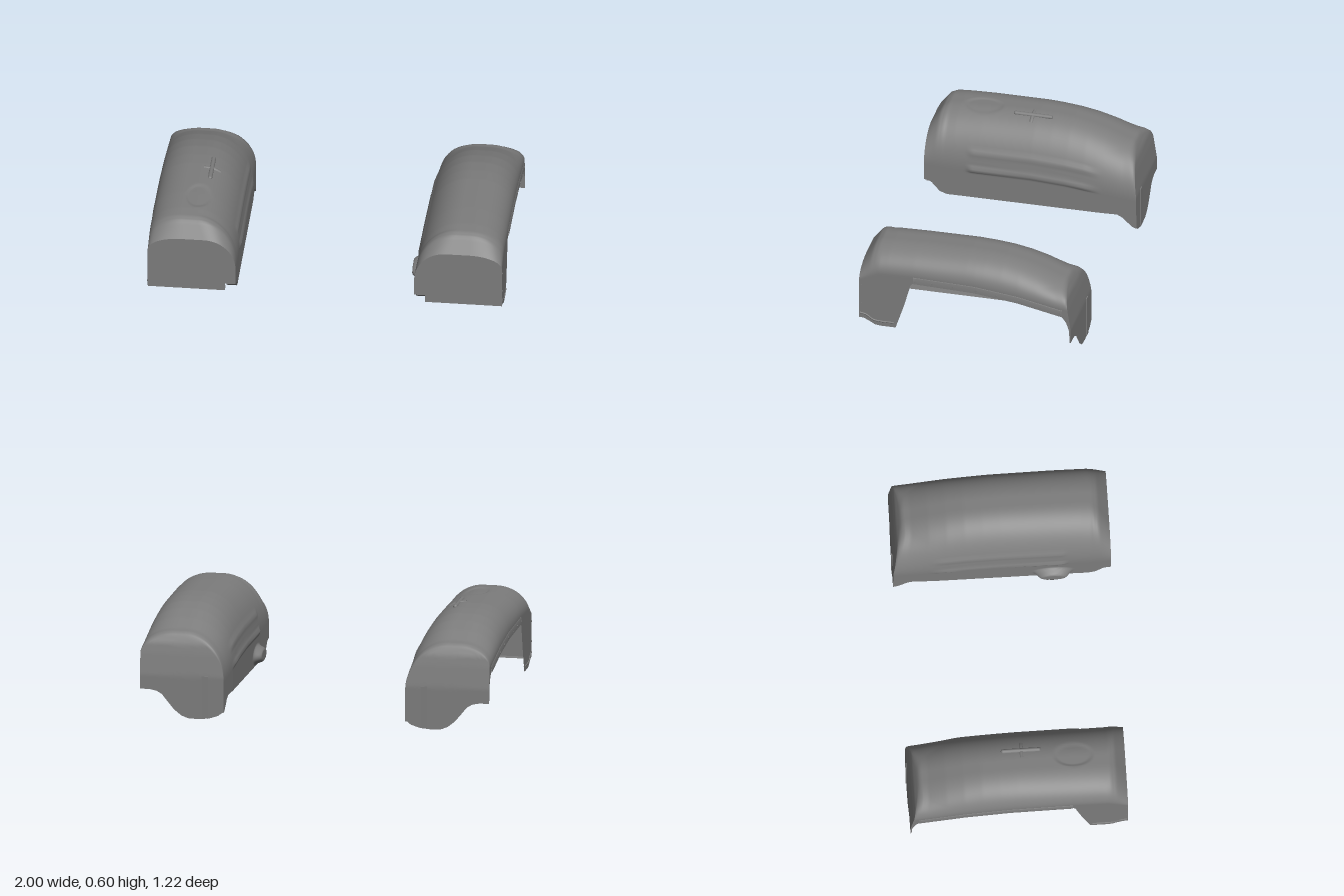
import * as THREE from 'three';
import { mergeGeometries, mergeVertices } from 'three/addons/utils/BufferGeometryUtils.js';

const material = new THREE.MeshStandardMaterial({ color: 0x7c7c7c, side: THREE.DoubleSide });

// Piecewise linear curve through [key, value] pairs with rising keys
function curve(...pts) {
  return (k) => {
    if (k <= pts[0][0]) return pts[0][1];
    for (let i = 1; i < pts.length; i++) {
      const [a, va] = pts[i - 1], [b, vb] = pts[i];
      if (k <= b) return va + (vb - va) * (k - a) / (b - a);
    }
    return pts[pts.length - 1][1];
  };
}
const step = THREE.MathUtils.smoothstep;

// Lengthwise rules, keyed by z
const roofY = curve([-0.555, 0.468], [-0.54, 0.482], [-0.5, 0.49], [-0.46, 0.506], [-0.4, 0.53], [-0.3, 0.56],
  [-0.2, 0.58], [-0.1, 0.59], [0, 0.595], [0.3, 0.592], [0.45, 0.587], [0.52, 0.58], [0.55, 0.565], [0.61, 0.48]);
const shoulderY = curve([-0.555, 0.22], [-0.3, 0.26], [0, 0.28], [0.5, 0.29], [0.61, 0.3]);
const lipY = curve([-0.555, 0.362], [-0.43, 0.388], [-0.3, 0.415], [-0.05, 0.445], [0.3, 0.455], [0.5, 0.45], [0.61, 0.4]);
const wallBottomY = curve([-0.61, 0.04], [-0.59, 0.048], [-0.56, 0.075], [-0.53, 0.105], [-0.5, 0.12], [0.48, 0.12],
  [0.52, 0.135], [0.57, 0.19], [0.61, 0.2]);
const wallX = curve([-0.61, 0.52], [-0.37, 0.508], [0.4, 0.505], [0.61, 0.502]);
const crownX = curve([0.5, 0.75], [0.61, 0.68]);
const ribY = curve([-0.4, -0.035], [-0.2, -0.012], [0, 0], [0.4, 0]);
// Rear face lean (z by y), its lower edge (y by x) and the depth of its outer return (by y)
const rearZ = curve([0, -0.61], [0.24, -0.608], [0.36, -0.59], [0.42, -0.578], [0.468, -0.555]);
const rearBottomY = curve([0.52, 0.045], [0.55, 0.022], [0.6, 0.006], [0.66, 0], [0.72, 0.002], [0.76, 0.018],
  [0.8, 0.05], [0.84, 0.098], [0.87, 0.135], [0.9, 0.152], [0.94, 0.16], [1, 0.16]);
const returnDepth = curve([0.16, 0.006], [0.24, 0.01], [0.29, 0.02], [0.335, 0.05]);

const WALL = 26, ARC = 30, TOP = 16, SIDE = 0.995;

// One cross-section, from the inner wall foot over the roof to the outer edge
function section(z, bottom) {
  const H = roofY(z), s = shoulderY(z), o = lipY(z), xi = wallX(z), xc = crownX(z);
  const pts = [];
  for (let i = 0; i < WALL; i++) pts.push([xi, bottom + (s - bottom) * i / WALL]);
  for (let i = 0; i < ARC; i++) {
    const a = i / ARC * Math.PI / 2;
    pts.push([xc - (xc - xi) * Math.cos(a), s + (H - s) * Math.sin(a)]);
  }
  for (let i = 0; i < TOP; i++) pts.push([xc + (0.81 - xc) * i / TOP, H]);
  for (let i = 0; i <= ARC; i++) {
    const a = i / ARC * Math.PI / 2;
    pts.push([0.81 + (SIDE - 0.81) * Math.sin(a), o + (H - o) * Math.cos(a)]);
  }
  pts.push([SIDE, o - 0.04]);
  return pts;
}

// Surface through a list of equally long rows of [x, y, z]
function loft(rows) {
  const n = rows[0].length, index = [];
  for (let r = 0; r < rows.length - 1; r++) {
    for (let i = 0; i < n - 1; i++) {
      const a = r * n + i, b = a + n;
      index.push(a, a + 1, b, b, a + 1, b + 1);
    }
  }
  const g = new THREE.BufferGeometry();
  g.setAttribute('position', new THREE.Float32BufferAttribute(rows.flat(2), 3));
  g.setIndex(index);
  g.computeVertexNormals();
  return g;
}

// Joins lofts into one skin with smooth seams
function smoothSkin(...lofts) {
  const joined = mergeGeometries(lofts);
  joined.deleteAttribute('normal');
  const skin = mergeVertices(joined, 1e-4);
  skin.computeVertexNormals();
  return skin;
}

// Pressed ribs and bulges: returns the shifted point
function press(x, y, z, isLeft) {
  if (x < 0.6 && y < 0.46) {
    const fade = step(z, -0.42, -0.3) * (1 - step(z, 0.33, 0.38));
    for (const [c, depth] of [[0.297, 0.01], [0.395, 0.006]]) {
      const d = Math.abs(y - c - ribY(z));
      x -= depth * fade * (1 - step(d, 0.006, 0.022));
    }
    if (isLeft) x -= 0.042 * (1 - step(Math.hypot((z - 0.285) / 0.115, (y - 0.178) / 0.056), 0.55, 1));
  } else if (!isLeft) {
    y -= 0.006 * (1 - step(Math.hypot((x - 0.74) / 0.075, (z - 0.32) / 0.12), 0.75, 1));
  }
  return [x, y, z];
}

function createFender(isLeft) {
  const fender = new THREE.Group();
  fender.name = isLeft ? 'leftFender' : 'rightFender';
  const add = (name, geometry, x = 0, y = 0, z = 0) => {
    const mesh = new THREE.Mesh(geometry, material);
    mesh.name = name;
    mesh.position.set(x, y, z);
    fender.add(mesh);
  };

  // Inner wall and roof, the rear end following the leaning rear face
  const rows = [], STATIONS = 130;
  for (let k = 0; k <= STATIONS; k++) {
    const z = 0.61 - 1.165 * k / STATIONS;
    const w = THREE.MathUtils.clamp((-0.3 - z) / 0.255, 0, 1);
    const foot = wallBottomY(z - 0.055 * w);
    rows.push(section(z, foot).map(([x, y]) => press(x, y, z + (rearZ(y) + 0.555) * w, isLeft)));
  }

  // Rear panel hanging from the last section
  const columns = section(-0.555, 0.04).slice(WALL).reverse().map(([x, top]) => {
    const low = rearBottomY(x), column = [];
    for (let i = 0; i <= 24; i++) {
      const y = top + (low - top) * i / 24;
      column.push([x, y, rearZ(y)]);
    }
    return column;
  });
  add('shell', smoothSkin(loft(rows), loft(columns)));
  add('rearRib', new THREE.BoxGeometry(0.036, 0.24, 0.01), 0.624, 0.125, -0.608);

  // Narrow return along the outer edge of the rear panel
  const returnRows = [];
  for (let y = 0.16; y < 0.34; y += 0.0125) returnRows.push([[SIDE, y, rearZ(y)], [SIDE, y, rearZ(y) + returnDepth(y)]]);
  add('rearReturn', loft(returnRows));

  // Flange turned in along the foot of the inner wall
  add('wallFlange', loft(rows.map(([[x, y, z]]) => [[x, y, z], [0.562, y, z]])));

  // Flat front panel with a notched lower inner corner
  const front = section(0.61, 0.2).map(([x, y]) => new THREE.Vector2(x, y));
  for (const [x, y] of [[SIDE, 0.156], [0.562, 0.156], [0.562, 0.2]]) front.push(new THREE.Vector2(x, y));
  add('frontPanel', new THREE.ShapeGeometry(new THREE.Shape(front)), 0, 0, 0.61);
  add('frontFlange', loft([[[0.562, 0.157, 0.61], [SIDE, 0.157, 0.61]], [[0.562, 0.157, 0.56], [SIDE, 0.157, 0.56]]]));

  // Outer side panel ahead of the wheel opening, drawn in z and y
  const side = new THREE.Shape([[0.61, 0.4], [0.61, 0.16], [0.58, 0.155], [0.55, 0.14], [0.52, 0.123], [0.49, 0.118],
    [0.4, 0.118], [0.35, 0.27], [0.315, 0.4], [0.3, 0.418], [0.3, 0.45], [0.5, 0.445]].map(([z, y]) => new THREE.Vector2(z, y)));
  add('sidePanel', new THREE.ShapeGeometry(side).rotateY(-Math.PI / 2), SIDE + 0.0005);
  const bead = new THREE.CatmullRomCurve3([[0.605, 0.188], [0.57, 0.18], [0.53, 0.153], [0.49, 0.147], [0.41, 0.147]]
    .map(([z, y]) => new THREE.Vector3(SIDE, y, z)));
  add('sideBead', new THREE.TubeGeometry(bead, 32, 0.005, 8));

  // Raised strip along the top of the wheel opening
  const strip = [];
  for (let k = 0; k <= 40; k++) {
    const z = 0.3 - 0.86 * k / 40, y = lipY(z);
    strip.push([[SIDE - 0.003, y + 0.002, z], [0.999, y - 0.004, z], [0.999, y - 0.04, z]]);
  }
  add('openingLip', loft(strip));

  // Fasteners along the lip and the front edge
  const bolt = new THREE.CylinderGeometry(0.006, 0.006, 0.006, 12).rotateZ(Math.PI / 2);
  for (const z of [0.29, 0.19, 0.07, -0.06, -0.18, -0.31, -0.43, -0.545]) add('lipBolt', bolt, 0.998, lipY(z) - 0.024, z);
  for (const y of [0.365, 0.25]) add('sideBolt', bolt, SIDE, y, 0.598);

  // Raised cross on the right roof only, its short arm bent over the shoulder
  if (!isLeft) {
    add('roofCrossLong', new THREE.CapsuleGeometry(0.013, 0.2, 4, 10).rotateX(Math.PI / 2), 0.697, 0.585, 0.028);
    const arm = new THREE.CatmullRomCurve3([[0.65, 0.56], [0.672, 0.574], [0.697, 0.583], [0.742, 0.587]]
      .map(([x, y]) => new THREE.Vector3(x, y, 0.03)));
    add('roofCrossShort', new THREE.TubeGeometry(arm, 16, 0.012, 10));
  }

  if (!isLeft) fender.scale.x = -1;
  return fender;
}

export function createModel() {
  const model = new THREE.Group();
  model.name = 'wheelFenders';
  model.add(createFender(true), createFender(false));
  return model;
}
